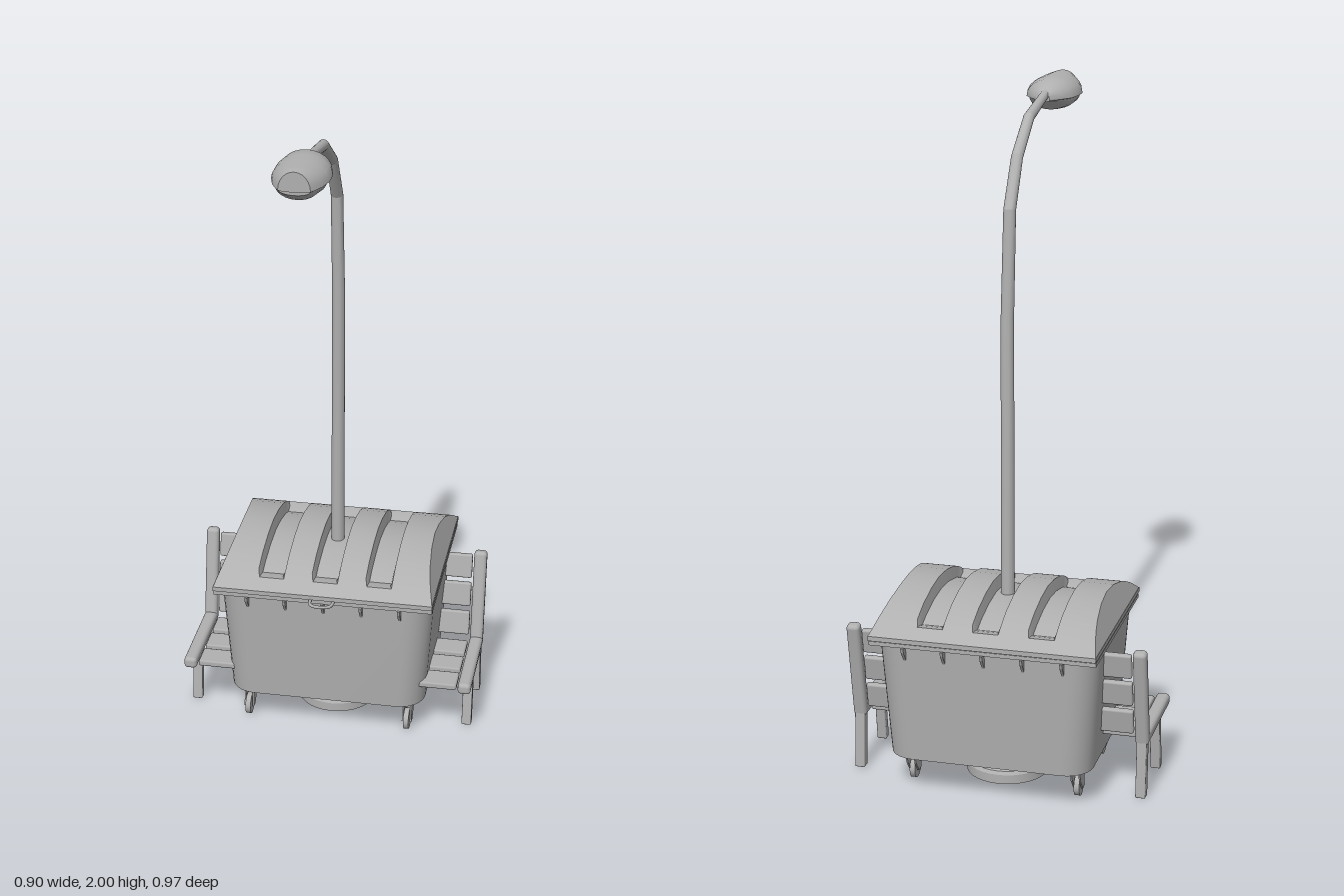
import * as THREE from 'three';
import { toCreasedNormals } from 'three/addons/utils/BufferGeometryUtils.js';
import { RoundedBoxGeometry } from 'three/addons/geometries/RoundedBoxGeometry.js';

const CZ = -0.19; // depth centre of the bin

export function createModel() {
  const model = new THREE.Group();
  const grey = new THREE.MeshStandardMaterial({ color: 0xb0b0b0 });
  grey.name = 'grey';

  function add(name, geometry, x = 0, y = 0, z = 0, parent = model) {
    const mesh = new THREE.Mesh(geometry, grey);
    mesh.name = name;
    mesh.position.set(x, y, z);
    parent.add(mesh);
    return mesh;
  }

  function fromTriangles(points, crease) {
    const g = new THREE.BufferGeometry().setFromPoints(points);
    return toCreasedNormals(g, crease);
  }

  // Skin over matching rings, with both ends capped
  function loft(rings, crease = 0.6) {
    const tris = [], n = rings[0].length, last = rings[rings.length - 1];
    for (let i = 0; i + 1 < rings.length; i++) {
      for (let k = 0; k < n; k++) {
        const m = (k + 1) % n, p = rings[i], q = rings[i + 1];
        tris.push(p[k], p[m], q[m], p[k], q[m], q[k]);
      }
    }
    for (let k = 1; k + 1 < n; k++) {
      tris.push(rings[0][0], rings[0][k + 1], rings[0][k], last[0], last[k], last[k + 1]);
    }
    return fromTriangles(tris, crease);
  }

  // Bin body: tapered tub with rounded corners
  function roundedRing(y, hw, hd, r) {
    const ring = [];
    for (let c = 0; c < 4; c++) {
      const sx = c === 0 || c === 3 ? 1 : -1, sz = c < 2 ? 1 : -1;
      for (let s = 0; s <= 6; s++) {
        const a = (c + s / 6) * Math.PI / 2;
        ring.push(new THREE.Vector3(sx * (hw - r) + r * Math.cos(a), y, CZ - sz * (hd - r) - r * Math.sin(a)));
      }
    }
    return ring;
  }
  add('binBody', loft([roundedRing(0.11, 0.303, 0.242, 0.08), roundedRing(0.48, 0.328, 0.266, 0.08)]));
  add('binRim', new THREE.BoxGeometry(0.67, 0.012, 0.57), 0, 0.481, CZ);
  add('lidFlange', new THREE.BoxGeometry(0.672, 0.014, 0.585), 0, 0.498, CZ);

  // Domed lid with hipped ends and three sunken grooves
  const profile = [[0, 0.595], [0.08, 0.588], [0.16, 0.57], [0.2, 0.555], [0.225, 0.544], [0.25, 0.53], [0.29, 0.505]];
  const rows = [...profile.slice(1).reverse().map(([z, y]) => [-z, y]), ...profile];
  const columns = [-0.3];
  for (const c of [-0.165, 0, 0.165]) columns.push(c - 0.041, c - 0.034, c + 0.034, c + 0.041);
  columns.push(0.3);
  const lidRows = rows.map(([z, y]) => {
    const depth = 0.036 * THREE.MathUtils.clamp((0.25 - Math.abs(z)) / 0.05, 0, 1);
    const hip = 0.335 - 0.035 * (y - 0.505) / 0.09;
    const line = columns.map((x, j) => {
      const inGroove = j % 4 === 2 || j % 4 === 3;
      const edge = j === 0 || j === columns.length - 1;
      return new THREE.Vector3(edge ? Math.sign(x) * hip : x, y - (inGroove ? depth : 0), CZ + z);
    });
    return [new THREE.Vector3(-0.335, 0.505, CZ + z), ...line, new THREE.Vector3(0.335, 0.505, CZ + z)];
  });
  const lidTris = [];
  for (let i = 0; i + 1 < lidRows.length; i++) {
    for (let j = 0; j + 1 < lidRows[i].length; j++) {
      const a = lidRows[i][j], b = lidRows[i + 1][j], c = lidRows[i + 1][j + 1], d = lidRows[i][j + 1];
      lidTris.push(a, b, c, a, c, d);
    }
  }
  add('lid', fromTriangles(lidTris, 0.4));

  // Gussets under the rim, front and back
  const gussetShape = new THREE.Shape([[0, 0], [0.035, 0], [0.03, -0.015], [0, -0.055]].map(p => new THREE.Vector2(...p)));
  const gusset = new THREE.ExtrudeGeometry(gussetShape, { depth: 0.008, bevelEnabled: false });
  gusset.translate(0, 0, -0.004);
  for (const side of [1, -1]) {
    for (let i = -2; i <= 2; i++) {
      add('rimGusset', gusset, i * 0.117, 0.476, CZ + side * 0.257).rotation.y = -side * Math.PI / 2;
    }
  }

  // Lid handle
  const handlePath = new THREE.CatmullRomCurve3([[-0.036, 0.09], [-0.03, 0.128], [0, 0.138], [0.03, 0.128], [0.036, 0.09]]
    .map(([x, z]) => new THREE.Vector3(x, 0.489, z)));
  add('lidHandle', new THREE.TubeGeometry(handlePath, 16, 0.005, 8));

  // Swivel castors
  for (const x of [-0.25, 0.25]) {
    for (const z of [-0.01, -0.312]) {
      const castor = new THREE.Group();
      castor.name = 'castor';
      castor.position.set(x, 0, z);
      model.add(castor);
      add('castorWheel', new THREE.CylinderGeometry(0.033, 0.033, 0.016, 20).rotateZ(Math.PI / 2), 0, 0.033, 0, castor);
      add('castorPlate', new THREE.BoxGeometry(0.034, 0.012, 0.06), 0, 0.104, -0.03, castor);
      const forkShape = new THREE.Shape([[0.012, 0.028], [0.008, 0.06], [0.0, 0.1], [-0.058, 0.1], [-0.04, 0.06], [-0.01, 0.025]]
        .map(([z2, y2]) => new THREE.Vector2(-z2, y2)));
      const fork = new THREE.ExtrudeGeometry(forkShape, { depth: 0.005, bevelEnabled: false }).rotateY(Math.PI / 2);
      add('castorFork', fork, 0.01, 0, 0, castor);
      add('castorFork', fork, -0.015, 0, 0, castor);
    }
  }

  // Bench running through the bin
  function bar(name, x, w, d, [y0, z0], [y1, z1], radius) {
    const length = Math.hypot(y1 - y0, z1 - z0);
    const mesh = add(name, new RoundedBoxGeometry(w, length, d, 3, radius), x, (y0 + y1) / 2, (z0 + z1) / 2);
    mesh.rotation.x = Math.atan2(z1 - z0, y1 - y0);
  }
  for (const x of [-0.43, 0.43]) {
    bar('seatRail', x, 0.04, 0.036, [0.182, -0.285], [0.182, 0.035], 0.012);
    bar('backPost', x, 0.04, 0.036, [0.165, -0.268], [0.474, -0.326], 0.012);
    bar('frontLeg', x, 0.03, 0.026, [0.18, -0.09], [0, -0.065], 0.004);
    bar('rearLeg', x, 0.03, 0.034, [0.18, -0.27], [0, -0.28], 0.004);
  }
  for (const z of [-0.21, -0.112, -0.015]) {
    add('seatSlat', new RoundedBoxGeometry(0.81, 0.02, 0.08, 1, 0.006), 0, 0.181, z);
  }
  for (const y of [0.236, 0.33, 0.422]) {
    const z = -0.268 - 0.188 * (y - 0.165);
    bar('backSlat', 0, 0.81, 0.02, [y - 0.038, z + 0.007], [y + 0.038, z - 0.007], 0.006);
  }

  // Lamp base with a fluted neck
  const baseProfile = [[0, 0], [0.122, 0], [0.122, 0.028], [0.116, 0.038], [0.092, 0.048], [0.095, 0.112], [0, 0.112]];
  add('lampBase', toCreasedNormals(new THREE.LatheGeometry(baseProfile.map(p => new THREE.Vector2(...p)), 32), 0.5), 0, 0, -0.18);
  for (let i = 0; i < 18; i++) {
    const a = i * Math.PI / 9;
    add('neckFlute', new THREE.BoxGeometry(0.022, 0.066, 0.02), 0.095 * Math.sin(a), 0.078, -0.18 + 0.095 * Math.cos(a)).rotation.y = a;
  }

  // Oval ring around a point in the x = 0 plane, facing along (ty, tz)
  function ovalRing(y, z, rx, rUp, rDown, ty, tz) {
    return Array.from({ length: 24 }, (_, k) => {
      const a = k / 24 * Math.PI * 2, s = Math.sin(a) * (Math.sin(a) > 0 ? rUp : rDown);
      return new THREE.Vector3(rx * Math.cos(a), y + s * tz, z - s * ty);
    });
  }

  // Bent lamp pole
  const path = [[0.1, -0.178, 0.021], [1.39, -0.178, 0.019], [1.7, -0.15, 0.018], [1.835, -0.068, 0.017], [1.925, 0.065, 0.016], [1.963, 0.265, 0.013]];
  add('lampPole', loft(path.map(([y, z, r], i) => {
    const [ya, za] = path[Math.max(i - 1, 0)], [yb, zb] = path[Math.min(i + 1, path.length - 1)];
    const len = Math.hypot(yb - ya, zb - za);
    return ovalRing(y, z, r, r, r, (yb - ya) / len, (zb - za) / len);
  }), 0.3));

  // Lamp head: upper shell and lens below; each row is z, half width, height above and below the seam
  const shell = [[0.24, 0.018, 0.022, 0.004], [0.27, 0.045, 0.036, 0.004], [0.305, 0.069, 0.052, 0.004], [0.35, 0.079, 0.055, 0.004],
    [0.4, 0.079, 0.055, 0.004], [0.445, 0.067, 0.055, 0.004], [0.478, 0.05, 0.055, 0.004], [0.486, 0.044, 0.053, 0.004]];
  add('lampShell', loft(shell.map(([z, w, up, down]) => ovalRing(1.945, z, w, up, down, 0, 1)), 0.7));
  const lens = [[0.268, 0.035, 0.004, 0.006], [0.31, 0.062, 0.004, 0.036], [0.35, 0.071, 0.004, 0.041],
    [0.4, 0.071, 0.004, 0.041], [0.45, 0.058, 0.004, 0.036], [0.482, 0.042, 0.004, 0.012]];
  add('lampLens', loft(lens.map(([z, w, up, down]) => ovalRing(1.943, z, w, up, down, 0, 1)), 0.7));

  return model;
}
